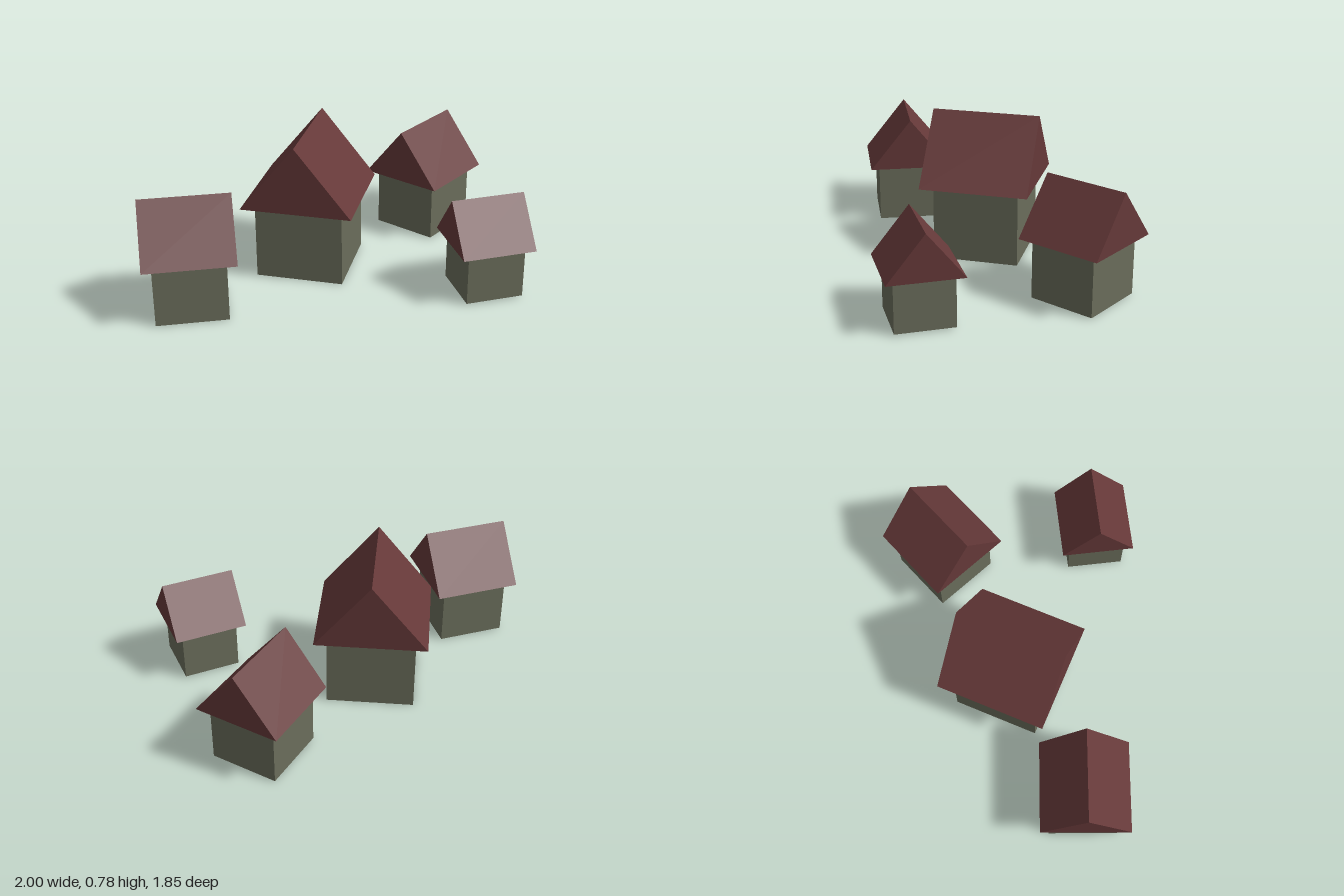
import * as THREE from 'three';

const wallMaterial = new THREE.MeshStandardMaterial({ color: 0x6a6d5b, flatShading: true });
const roofMaterial = new THREE.MeshStandardMaterial({ color: 0x663939, flatShading: true });

// Closed gable prism with its ridge along z, standing on y = 0
function gableRoof(size, height) {
  const h = size / 2;
  const gable = new THREE.Shape([
    new THREE.Vector2(-h, 0),
    new THREE.Vector2(h, 0),
    new THREE.Vector2(0, height),
  ]);
  return new THREE.ExtrudeGeometry(gable, { depth: size, bevelEnabled: false }).translate(0, 0, -h);
}

// Square house: block of walls under an overhanging gable roof
function house({ name, x, z, angle, wall, roof, floor, eaves, ridge }) {
  const group = new THREE.Group();
  group.name = name;

  const walls = new THREE.Mesh(new THREE.BoxGeometry(wall, eaves - floor, wall), wallMaterial);
  walls.name = 'walls';
  walls.position.y = (eaves + floor) / 2;

  const top = new THREE.Mesh(gableRoof(roof, ridge - eaves), roofMaterial);
  top.name = 'roof';
  top.position.y = eaves;

  group.add(walls, top);
  group.position.set(x, 0, z);
  group.rotation.y = angle;
  return group;
}

export function createModel() {
  const village = new THREE.Group();
  village.name = 'village';
  const medium = { wall: 0.365, roof: 0.463, floor: 0.003, eaves: 0.325, ridge: 0.612 };
  const houses = [
    { name: 'mainHouse', x: -0.228, z: 0.015, angle: 0, wall: 0.463, roof: 0.588, floor: 0, eaves: 0.41, ridge: 0.775 },
    { name: 'backHouse', x: 0.283, z: -0.618, angle: -0.434, ...medium },
    { name: 'frontHouse', x: -0.697, z: 0.618, angle: 1.971, ...medium },
    { name: 'smallHouse', x: 0.73, z: 0.105, angle: 2.081, wall: 0.305, roof: 0.39, floor: 0.008, eaves: 0.28, ridge: 0.523 },
  ];
  for (const h of houses) village.add(house(h));
  return village;
}
